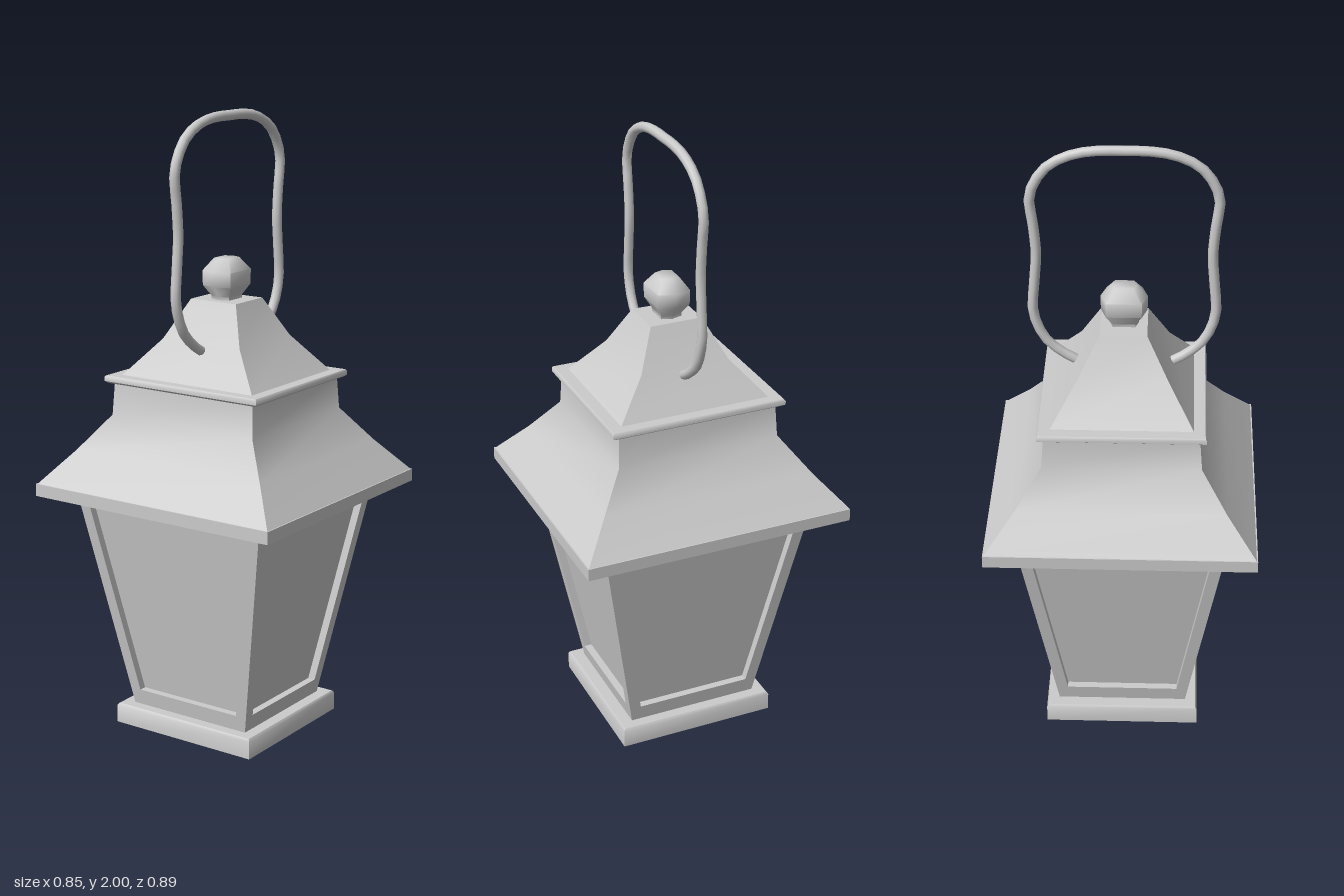
import * as THREE from 'three';
import { toCreasedNormals } from 'three/addons/utils/BufferGeometryUtils.js';

const material = new THREE.MeshStandardMaterial({ color: 0xcccccc });

// Skin a stack of equal-length point rings; the last ring is capped, the first one on request.
function loft(rings, crease = 0.8, capStart = true) {
  const pos = [];
  const tri = (a, b, c) => pos.push(...a, ...b, ...c);
  const n = rings[0].length;
  for (let r = 0; r < rings.length - 1; r++) {
    const a = rings[r], b = rings[r + 1];
    for (let i = 0; i < n; i++) {
      const j = (i + 1) % n;
      tri(a[i], a[j], b[j]);
      tri(a[i], b[j], b[i]);
    }
  }
  const first = rings[0], last = rings[rings.length - 1];
  for (let i = 1; i < n - 1; i++) {
    tri(last[0], last[i], last[i + 1]);
    if (capStart) tri(first[0], first[i + 1], first[i]);
  }
  const geometry = new THREE.BufferGeometry();
  geometry.setAttribute('position', new THREE.Float32BufferAttribute(pos, 3));
  return toCreasedNormals(geometry, crease);
}

// Rectangular sections given as [y, half width, half depth].
const rectLoft = (sections) => loft(sections.map(([y, x, z]) =>
  [[x, y, z], [x, y, -z], [-x, y, -z], [-x, y, z]]));

// One sloping lantern wall facing +z: flat frame, reveal and recessed pane.
function wall(w0, w1, d0, d1) {
  const y0 = 0.066, y1 = 0.788, border = 0.038, recess = 0.025;
  const ring = (lo, hi, inset, back) => {
    const corner = (y, side) => {
      const t = (y - y0) / (y1 - y0);
      return [side * (THREE.MathUtils.lerp(w0, w1, t) - inset), y,
        THREE.MathUtils.lerp(d0, d1, t) - back];
    };
    return [corner(lo, -1), corner(lo, 1), corner(hi, 1), corner(hi, -1)];
  };
  return loft([
    ring(y0, y1, 0, 0),
    ring(0.119, 0.754, border, 0),
    ring(0.119, 0.754, border, recess),
  ], 0.5, false);
}

export function createModel() {
  const model = new THREE.Group();
  const add = (name, geometry, parent = model) => {
    const mesh = new THREE.Mesh(geometry, material);
    mesh.name = name;
    parent.add(mesh);
    return mesh;
  };

  // Foot
  add('base', rectLoft([[0, 0.252, 0.264], [0.058, 0.252, 0.264], [0.066, 0.246, 0.258]]));

  // Four tapered walls with recessed panes
  const body = new THREE.Group();
  body.name = 'lanternBody';
  model.add(body);
  const x0 = 0.212, x1 = 0.33, z0 = 0.22, z1 = 0.351;
  ['frontWall', 'leftWall', 'backWall', 'rightWall'].forEach((name, i) => {
    const geometry = i % 2 ? wall(z0, z1, x0, x1) : wall(x0, x1, z0, z1);
    add(name, geometry, body).rotation.y = i * Math.PI / 2;
  });

  // Eaves and flared roof
  add('eaves', rectLoft([[0.788, 0.424, 0.445], [0.828, 0.424, 0.445]]));
  add('flaredRoof', rectLoft([
    [0.828, 0.42, 0.441], [0.935, 0.328, 0.352], [1.045, 0.248, 0.269], [1.15, 0.24, 0.264],
  ]));

  // Collar and chimney cap
  add('collar', rectLoft([
    [1.147, 0.25, 0.28], [1.154, 0.26, 0.29], [1.167, 0.26, 0.29], [1.172, 0.256, 0.286],
  ]));
  add('chimneyCap', rectLoft([[1.17, 0.222, 0.25], [1.288, 0.14, 0.147], [1.412, 0.073, 0.086]]));

  // Six-sided finial
  const outline = [[1, 0], [0.76, -0.74], [-0.76, -0.74], [-1, 0], [-0.76, 0.74], [0.76, 0.74]];
  const knob = [[1.41, 0.046], [1.422, 0.046], [1.456, 0.072], [1.503, 0.073], [1.542, 0.038]];
  add('finial', loft(knob.map(([y, r]) => outline.map(([x, z]) => [x * r, y, z * r])), 1.1));

  // Carrying handle, mirrored about the centre, with rounded ends
  const half = [
    [0.145, 1.265], [0.195, 1.295], [0.247, 1.345], [0.281, 1.435], [0.276, 1.54], [0.268, 1.64],
    [0.275, 1.74], [0.283, 1.838], [0.235, 1.925], [0.16, 1.968], [0.08, 1.983],
  ];
  const z = 0.01, radius = 0.016;
  const path = [
    ...half.map(([x, y]) => new THREE.Vector3(-x, y, z)),
    new THREE.Vector3(0, 1.984, z),
    ...half.map(([x, y]) => new THREE.Vector3(x, y, z)).reverse(),
  ];
  const curve = new THREE.CatmullRomCurve3(path, false, 'centripetal');
  add('handle', new THREE.TubeGeometry(curve, 48, radius, 8));
  for (const end of [path[0], path[path.length - 1]]) {
    add('handleEnd', new THREE.SphereGeometry(radius, 8, 6)).position.copy(end);
  }

  return model;
}
